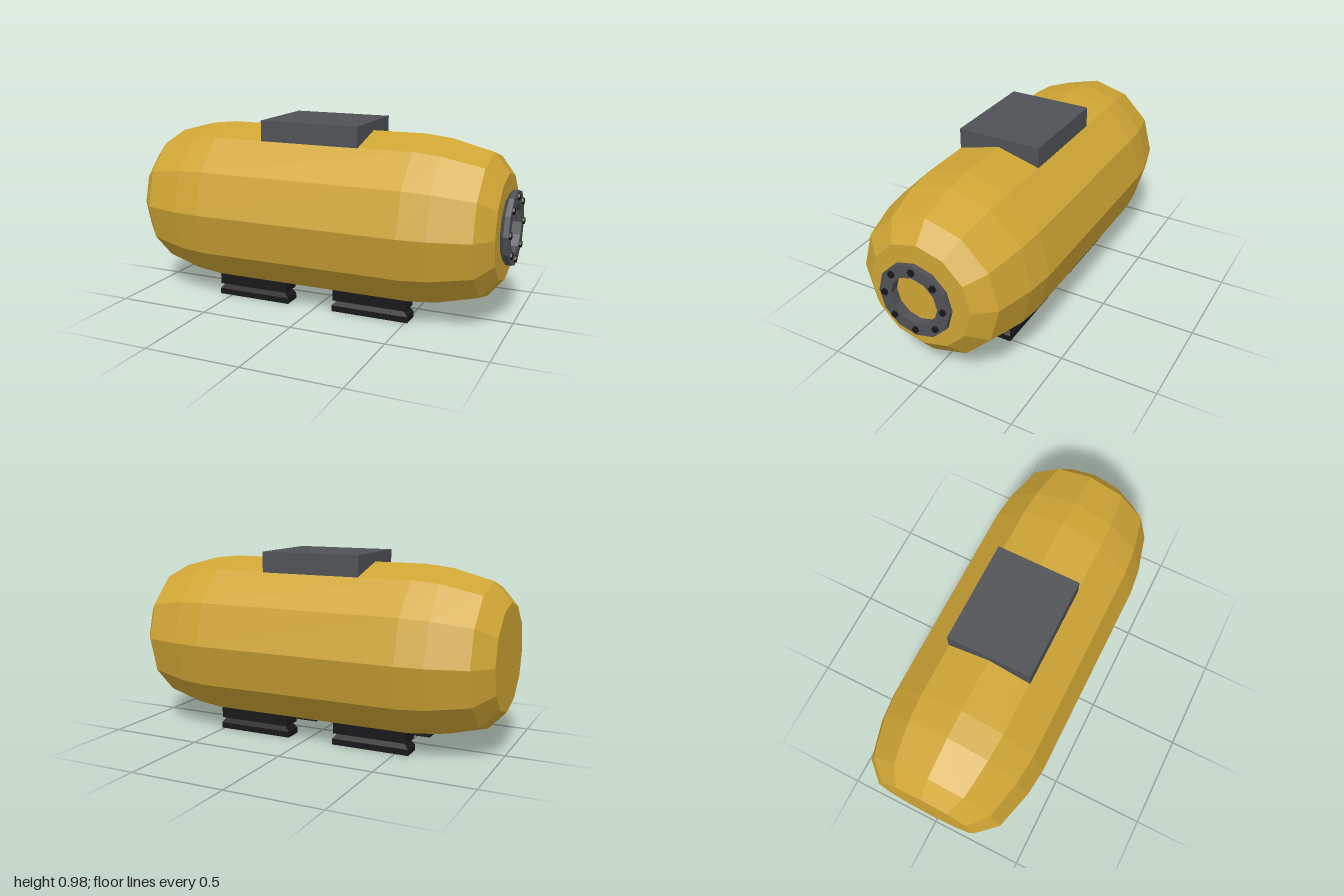
import * as THREE from 'three';

const paint = (color) => new THREE.MeshStandardMaterial({ color, flatShading: true });
const AXIS_Y = 0.495;

export function createModel() {
  const model = new THREE.Group();
  const yellow = paint(0xcfa534), grey = paint(0x505256), black = paint(0x18181a);

  const add = (name, geometry, material, x, y, z, parent = model) => {
    const mesh = new THREE.Mesh(geometry, material);
    mesh.name = name;
    mesh.position.set(x, y, z);
    parent.add(mesh);
    return mesh;
  };

  // Revolves [x, radius] pairs around the long axis of the tank
  const revolve = (profile) => {
    const points = profile.map(([x, r]) => new THREE.Vector2(r, x));
    return new THREE.LatheGeometry(points, 12).rotateZ(-Math.PI / 2);
  };

  // Tank shell with tapered, flat-capped ends
  add('tankBody', revolve([
    [-1, 0], [-1, 0.27], [-0.91, 0.367], [-0.71, 0.42], [-0.57, 0.435],
    [0.52, 0.435], [0.66, 0.42], [0.865, 0.367], [0.945, 0.27], [0.945, 0],
  ]), yellow, 0, AXIS_Y, 0);

  // Flange ring on the +x end, chamfered towards the tank
  add('flangeRing', revolve([
    [0.945, 0.125], [0.945, 0.165], [0.965, 0.19], [0.99, 0.19], [0.99, 0.125], [0.945, 0.125],
  ]), grey, 0, AXIS_Y, 0);

  // Hexagonal flange bolts
  const boltGeometry = new THREE.CylinderGeometry(0.018, 0.018, 0.03, 6).rotateZ(-Math.PI / 2);
  for (let i = 0; i < 8; i++) {
    const a = (i * Math.PI) / 4;
    add('flangeBolt', boltGeometry, black, 0.985, AXIS_Y + 0.157 * Math.cos(a), 0.157 * Math.sin(a));
  }

  // Equipment box on top
  add('topBox', new THREE.BoxGeometry(0.535, 0.107, 0.44), grey, -0.0275, 0.9235, 0);

  // Foot base: a block whose upper ring of corners is pulled in
  const baseGeometry = new THREE.BoxGeometry(0.415, 0.063, 0.1, 1, 2, 1);
  const pos = baseGeometry.attributes.position;
  for (let i = 0; i < pos.count; i++) {
    if (pos.getY(i) > 0.01) {
      pos.setX(i, Math.sign(pos.getX(i)) * 0.18);
      pos.setZ(i, Math.sign(pos.getZ(i)) * 0.036);
    }
  }
  baseGeometry.computeVertexNormals();
  const padGeometry = new THREE.BoxGeometry(0.4, 0.055, 0.11);

  // Four feet
  for (const x of [-0.363, 0.307]) {
    for (const side of [-1, 1]) {
      const foot = new THREE.Group();
      foot.name = 'foot';
      foot.position.set(x, 0, side * 0.165);
      add('footBase', baseGeometry, black, 0, 0.0315, 0, foot);
      add('footPad', padGeometry, black, 0, 0.0895, 0, foot);
      model.add(foot);
    }
  }
  return model;
}
